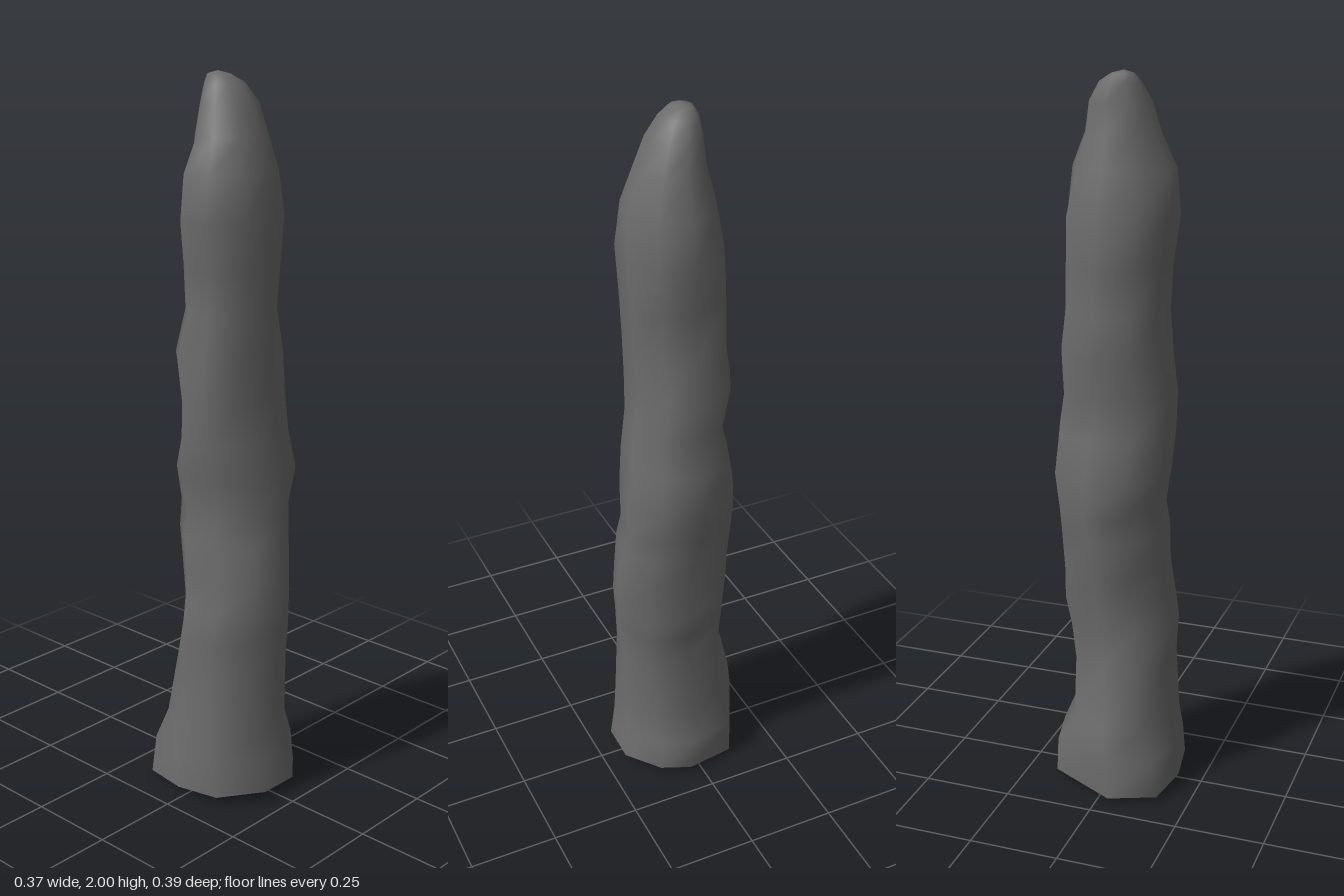
import * as THREE from 'three';

const SIDES = 9;

// Column cross-sections: height, x from/to, z from/to
const RINGS = [
  [0.03, -0.187, 0.182, -0.197, 0.197],
  [0.12, -0.18, 0.18, -0.19, 0.185],
  [0.20, -0.165, 0.145, -0.18, 0.18],
  [0.38, -0.15, 0.125, -0.13, 0.175],
  [0.48, -0.165, 0.135, -0.13, 0.19],
  [0.56, -0.15, 0.15, -0.125, 0.195],
  [0.65, -0.14, 0.145, -0.135, 0.195],
  [0.76, -0.135, 0.165, -0.145, 0.185],
  [0.83, -0.11, 0.17, -0.15, 0.165],
  [0.93, -0.13, 0.185, -0.145, 0.165],
  [1.04, -0.145, 0.18, -0.13, 0.155],
  [1.15, -0.15, 0.16, -0.105, 0.135],
  [1.26, -0.135, 0.165, -0.14, 0.125],
  [1.38, -0.12, 0.14, -0.12, 0.135],
  [1.50, -0.125, 0.14, -0.12, 0.14],
  [1.63, -0.145, 0.15, -0.12, 0.145],
  [1.75, -0.145, 0.14, -0.10, 0.145],
  [1.84, -0.10, 0.10, -0.075, 0.105],
  [1.92, -0.08, 0.085, -0.065, 0.075],
  [1.97, -0.057, 0.052, -0.058, 0.042],
  [1.992, -0.042, 0.015, -0.047, 0.012],
];

// Reach along the four diagonals, from the third ring up: (-x+z), (+x-z), (+x+z), (-x-z)
const DIAGONAL_SIGNS = [[-1, 1], [1, -1], [1, 1], [-1, -1]];
const DIAGONALS = [
  [0.17, 0.135, 0.165, 0.17],
  [0.168, 0.13, 0.165, 0.14],
  [0.168, 0.14, 0.17, 0.125],
  [0.165, 0.155, 0.172, 0.117],
  [0.155, 0.157, 0.171, 0.122],
  [0.148, 0.162, 0.17, 0.13],
  [0.145, 0.168, 0.17, 0.127],
  [0.145, 0.177, 0.19, 0.145],
  [0.143, 0.162, 0.167, 0.12],
  [0.142, 0.15, 0.157, 0.12],
  [0.14, 0.158, 0.153, 0.14],
  [0.14, 0.148, 0.132, 0.11],
  [0.145, 0.145, 0.14, 0.115],
  [0.155, 0.14, 0.15, 0.12],
  [0.135, 0.11, 0.133, 0.095],
];

// Uneven corners of the foot, as x, z
const FOOT = [
  [0.16, -0.10], [0.185, 0.04], [0.155, 0.12], [0.065, 0.195], [-0.05, 0.195],
  [-0.165, 0.112], [-0.187, -0.015], [-0.167, -0.147], [-0.037, -0.197],
];

// Push the corners of each quadrant in or out until they meet the diagonal reach
function fitDiagonals(points, reach) {
  DIAGONAL_SIGNS.forEach(([sx, sz], q) => {
    const support = Math.max(...points.map((p) => (sx * p.x + sz * p.y) * Math.SQRT1_2));
    const scale = reach[q] / support;
    for (const p of points) {
      if (p.x * sx > 0 && p.y * sz > 0) {
        const weight = Math.sin(2 * p.angle()) ** 2;
        p.multiplyScalar(1 + (scale - 1) * weight);
      }
    }
  });
}

// Nine-sided ring, uneven at the foot and regular higher up, fitted to its extents
function ringPoints([y, x0, x1, z0, z1], level) {
  const blend = Math.max(0, 1 - y / 0.4);
  const ring = FOOT.map(([fx, fz], i) => {
    const a = THREE.MathUtils.degToRad(-40 + (360 / SIDES) * i);
    return new THREE.Vector2(0.19 * Math.cos(a), 0.19 * Math.sin(a)).lerp(new THREE.Vector2(fx, fz), blend);
  });
  const box = new THREE.Box2().setFromPoints(ring);
  for (const p of ring) {
    p.set(
      THREE.MathUtils.mapLinear(p.x, box.min.x, box.max.x, x0, x1),
      THREE.MathUtils.mapLinear(p.y, box.min.y, box.max.y, z0, z1),
    );
  }
  const reach = DIAGONALS[level - 2];
  if (reach) fitDiagonals(ring, reach);
  // The lowest rim sits a little higher at the front
  return ring.map((p) => [p.x, level === 0 ? 0.022 + 0.05 * p.y : y, p.y]);
}

function buildGeometry(points, index) {
  const g = new THREE.BufferGeometry();
  g.setAttribute('position', new THREE.Float32BufferAttribute(points.flat(), 3));
  g.setIndex(index);
  g.computeVertexNormals();
  return g;
}

// Skin a stack of rings and close it with a fan to one end point
function loft(rings, end) {
  const index = [];
  const last = rings.length - 1;
  for (let r = 0; r <= last; r++) {
    for (let i = 0; i < SIDES; i++) {
      const a = r * SIDES + i;
      const b = r * SIDES + ((i + 1) % SIDES);
      if (r === last) index.push(a, rings.length * SIDES, b);
      else index.push(a, a + SIDES, b, b, a + SIDES, b + SIDES);
    }
  }
  return buildGeometry([...rings.flat(), end], index);
}

export function createModel() {
  const group = new THREE.Group();
  group.name = 'roughColumn';
  const material = new THREE.MeshStandardMaterial({ color: 0x6c6c6c });

  // Wavy shaft with a rounded tip
  const rings = RINGS.map(ringPoints);
  const shaft = new THREE.Mesh(loft(rings, [-0.018, 2, -0.018]), material);
  shaft.name = 'shaft';

  // Shallow underside, separate so its edge stays sharp; rings run backwards to face down
  const rim = [...rings[0]].reverse();
  const sole = rim.map(([x, , z]) => [x * 0.55, 0, z * 0.55]);
  const underside = new THREE.Mesh(loft([rim, sole], [0, 0, 0]), material);
  underside.name = 'underside';

  group.add(shaft, underside);
  return group;
}
